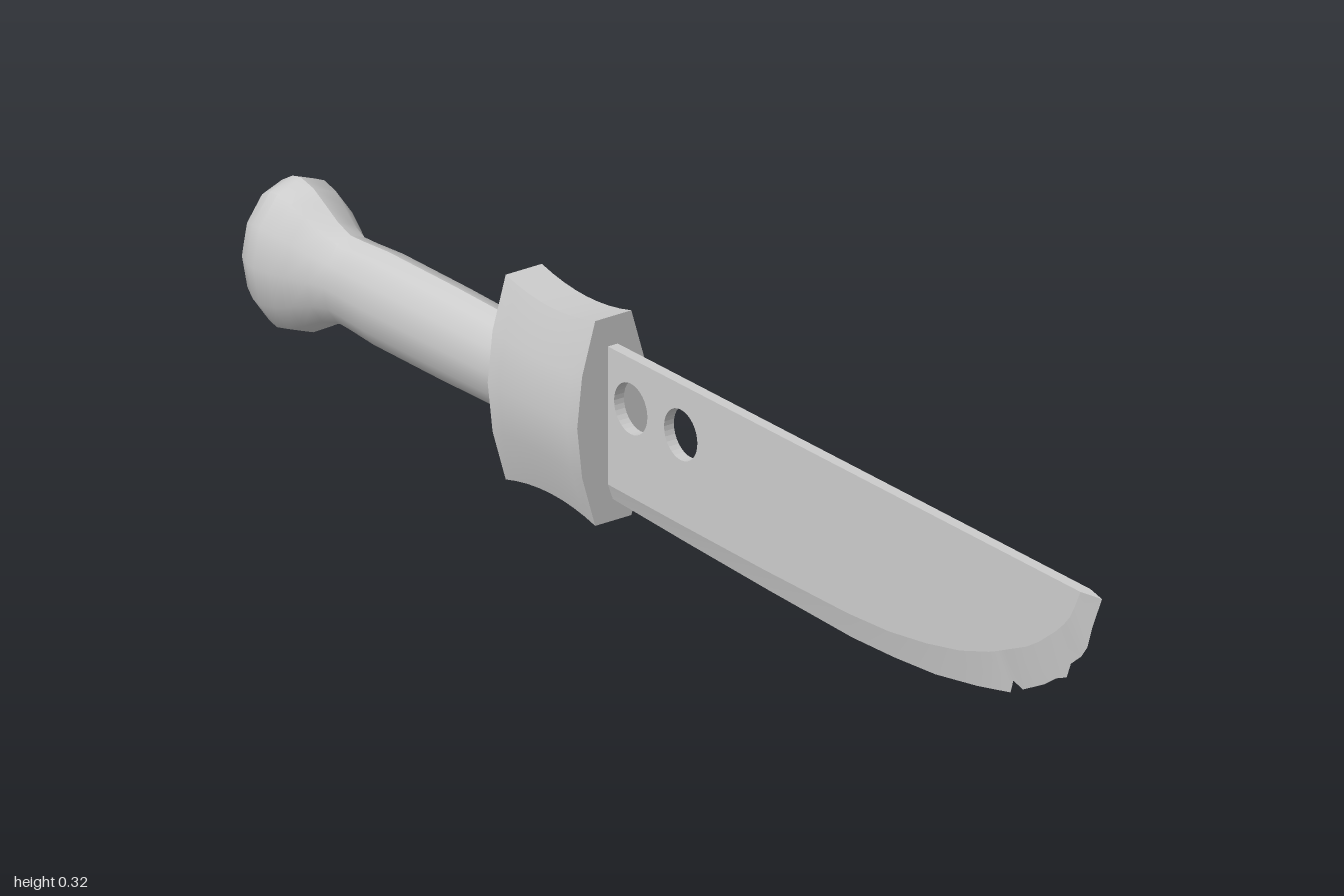
import * as THREE from 'three';
import { toCreasedNormals } from 'three/addons/utils/BufferGeometryUtils.js';

const GREY = { color: 0xcccccc };

function addMesh(group, name, geometry, options = {}) {
  const mesh = new THREE.Mesh(geometry, new THREE.MeshStandardMaterial({ ...GREY, ...options }));
  mesh.name = name;
  group.add(mesh);
  return mesh;
}

// Oval twelve-sided grip with a swollen pommel, turned about the x axis
function gripGeometry() {
  const profile = [
    [0, -1], [0.045, -0.998], [0.075, -0.988], [0.102, -0.965], [0.117, -0.94],
    [0.121, -0.92], [0.114, -0.89], [0.1, -0.865], [0.08, -0.83], [0.07, -0.8],
    [0.071, -0.77], [0.075, -0.71], [0.075, -0.55], [0.073, -0.42], [0.073, -0.36],
  ].map(([r, x]) => new THREE.Vector2(r, x));
  const geo = new THREE.LatheGeometry(profile, 12);
  geo.rotateZ(-Math.PI / 2);
  geo.scale(1, 1, 0.72);
  geo.translate(0, 0.168, 0);
  return toCreasedNormals(geo, 0.6);
}

// Block with bowed sides; its top and bottom sag towards the middle
function guardGeometry() {
  const half = [[0.033, -0.162], [0.057, -0.08], [0.066, 0], [0.057, 0.08], [0.033, 0.162]];
  const outline = [...half, ...half.map(([z, y]) => [-z, -y])];
  const shape = new THREE.Shape(outline.map(([z, y]) => new THREE.Vector2(z, y)));
  const length = 0.215;
  const geo = new THREE.ExtrudeGeometry(shape, { depth: length, steps: 8, bevelEnabled: false });
  const pos = geo.attributes.position;
  for (let i = 0; i < pos.count; i++) {
    const t = (2 * pos.getZ(i)) / length - 1;
    pos.setY(i, pos.getY(i) * (1 - 0.09 * (1 - t * t)));
  }
  geo.rotateY(Math.PI / 2);
  geo.translate(-0.39, 0.162, -0.004);
  return toCreasedNormals(geo, 0.5);
}

// Pairs along the blade: cutting edge x, y and bevel line x, y
const EDGE = [
  [-0.19, 0.035, -0.19, 0.06], [0, 0.026, 0, 0.056], [0.2, 0.018, 0.2, 0.053],
  [0.4, 0.012, 0.4, 0.053], [0.5, 0.015, 0.5, 0.058], [0.6, 0.022, 0.59, 0.07],
  [0.7, 0.038, 0.67, 0.086], [0.78, 0.055, 0.74, 0.108], [0.787, 0.076, 0.76, 0.116],
  [0.81, 0.07, 0.78, 0.125], [0.86, 0.095, 0.83, 0.147], [0.89, 0.115, 0.86, 0.165],
  [0.915, 0.125, 0.88, 0.18], [0.925, 0.15, 0.9, 0.195], [0.95, 0.17, 0.92, 0.213],
  [0.965, 0.19, 0.935, 0.23], [0.977, 0.226, 0.948, 0.253], [1, 0.278, 0.96, 0.278],
];
const THICK = 0.018;

// Flat part of the blade with two round holes
function bladeGeometry() {
  const shape = new THREE.Shape([
    ...EDGE.map(([, , x, y]) => new THREE.Vector2(x, y)),
    new THREE.Vector2(-0.19, 0.278),
  ]);
  for (const x of [-0.12, 0]) {
    const hole = new THREE.Path();
    hole.absarc(x, 0.198, 0.04, 0, Math.PI * 2, true);
    shape.holes.push(hole);
  }
  const geo = new THREE.ExtrudeGeometry(shape, { depth: THICK, bevelEnabled: false, curveSegments: 16 });
  geo.translate(0, 0, -THICK / 2);
  return geo;
}

// Bevels on both sides meeting in the nicked cutting edge
function edgeGeometry() {
  const h = THICK / 2;
  const v = [];
  for (let i = 0; i < EDGE.length - 1; i++) {
    const [ax, ay, bx, by] = EDGE[i];
    const [cx, cy, dx, dy] = EDGE[i + 1];
    v.push(ax, ay, 0, cx, cy, 0, dx, dy, h, ax, ay, 0, dx, dy, h, bx, by, h);
    v.push(ax, ay, 0, dx, dy, -h, cx, cy, 0, ax, ay, 0, bx, by, -h, dx, dy, -h);
  }
  // spine at the tip
  const [tx, ty, sx, sy] = EDGE[EDGE.length - 1];
  v.push(tx, ty, 0, sx, sy, -h, sx, sy, h);
  const geo = new THREE.BufferGeometry();
  geo.setAttribute('position', new THREE.Float32BufferAttribute(v, 3));
  geo.computeVertexNormals();
  return toCreasedNormals(geo, 0.4);
}

export function createModel() {
  const model = new THREE.Group();
  model.name = 'knife';
  addMesh(model, 'grip', gripGeometry());
  addMesh(model, 'guard', guardGeometry());

  const blade = new THREE.Group();
  blade.name = 'blade';
  blade.position.z = -0.003;
  addMesh(blade, 'bladeBody', bladeGeometry());
  addMesh(blade, 'cuttingEdge', edgeGeometry(), { side: THREE.DoubleSide });
  model.add(blade);
  return model;
}
